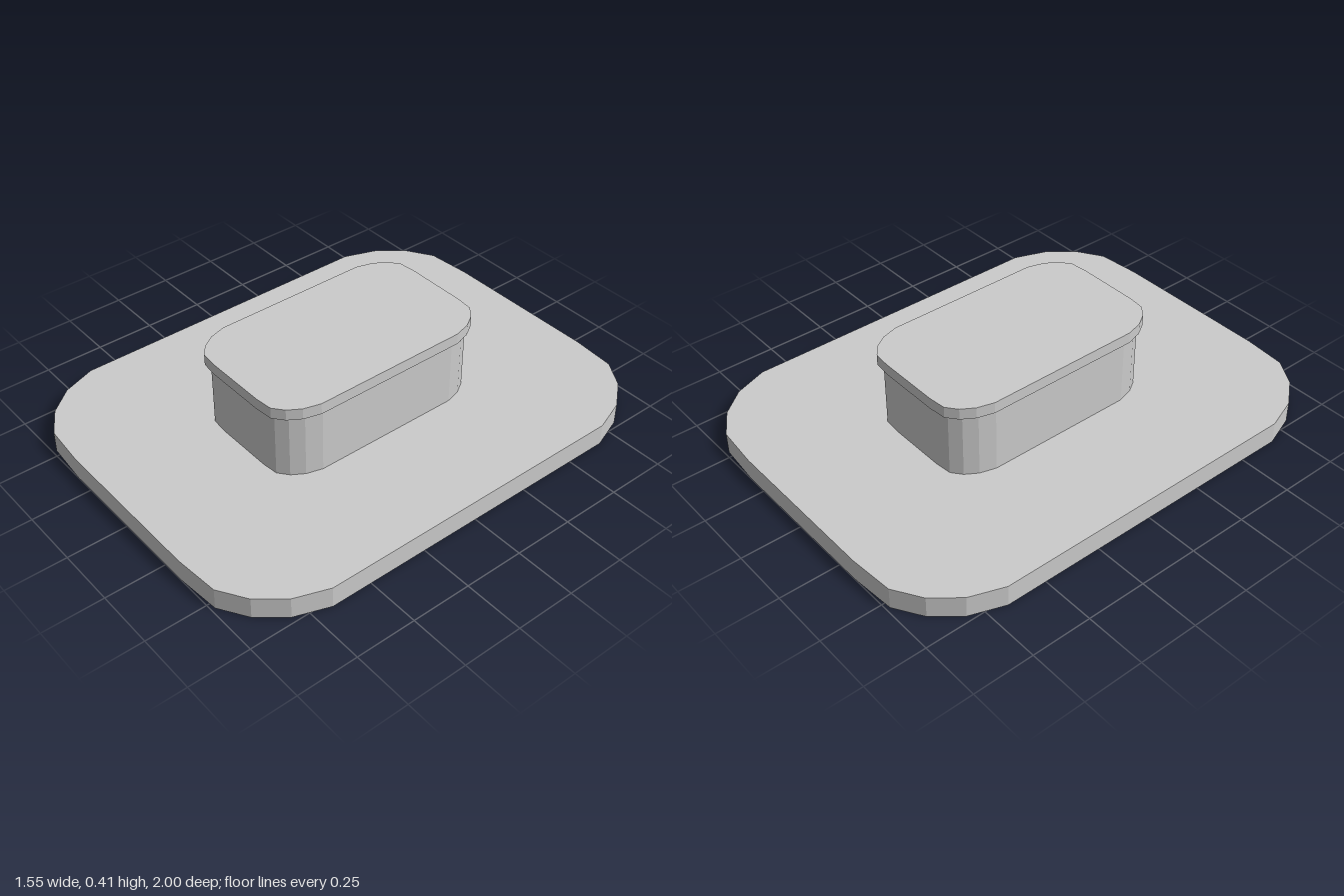
import * as THREE from 'three';

// One quarter of the rounded outline, as fractions of half width and half depth
const QUARTER = [[1, 0.67], [0.935, 0.81], [0.825, 0.915], [0.68, 0.985], [0.44, 1]];

// Full outline, mirrored into the four corners, running from +x towards +z
function outline() {
  const flip = (pts, sx, sz) => pts.map(([x, z]) => [x * sx, z * sz]);
  const reversed = [...QUARTER].reverse();
  return [
    ...flip(QUARTER, 1, 1),
    ...flip(reversed, -1, 1),
    ...flip(QUARTER, -1, -1),
    ...flip(reversed, 1, -1),
  ];
}

// Thin skin between successive rings, each [half width, half depth, height]
function skin(name, rings, material) {
  const loop = outline();
  const positions = [];
  const at = ([w, d, y], j) => {
    const [x, z] = loop[j % loop.length];
    return [x * w, y, z * d];
  };
  for (let i = 0; i < rings.length - 1; i++) {
    for (let j = 0; j < loop.length; j++) {
      const a = at(rings[i], j), b = at(rings[i], j + 1);
      const c = at(rings[i + 1], j), d = at(rings[i + 1], j + 1);
      // A ring of zero size is the centre of a closed top
      if (rings[i][0] > 0) positions.push(...a, ...b, ...c);
      positions.push(...b, ...d, ...c);
    }
  }
  const geometry = new THREE.BufferGeometry();
  geometry.setAttribute('position', new THREE.Float32BufferAttribute(positions, 3));
  geometry.computeVertexNormals();
  const mesh = new THREE.Mesh(geometry, material);
  mesh.name = name;
  return mesh;
}

export function createModel() {
  const material = new THREE.MeshStandardMaterial({
    color: 0xcccccc, flatShading: true, side: THREE.DoubleSide,
  });
  const group = new THREE.Group();
  group.name = 'flangedCover';

  const plateTop = 0.09, neckTop = 0.368, capTop = 0.415;
  const plate = [0.777, 1], neck = [0.287, 0.473], cap = [0.3, 0.495];

  group.add(
    // Cap with its overhanging rim, hollow beneath
    skin('cap', [[0, 0, capTop], [...cap, capTop], [...cap, neckTop], [...neck, neckTop]], material),
    // Upright neck wall
    skin('neck', [[...neck, neckTop], [...neck, plateTop]], material),
    // Base flange with a turned-down skirt, open from below
    skin('baseFlange', [[...neck, plateTop], [...plate, plateTop], [...plate, 0]], material),
  );
  return group;
}
